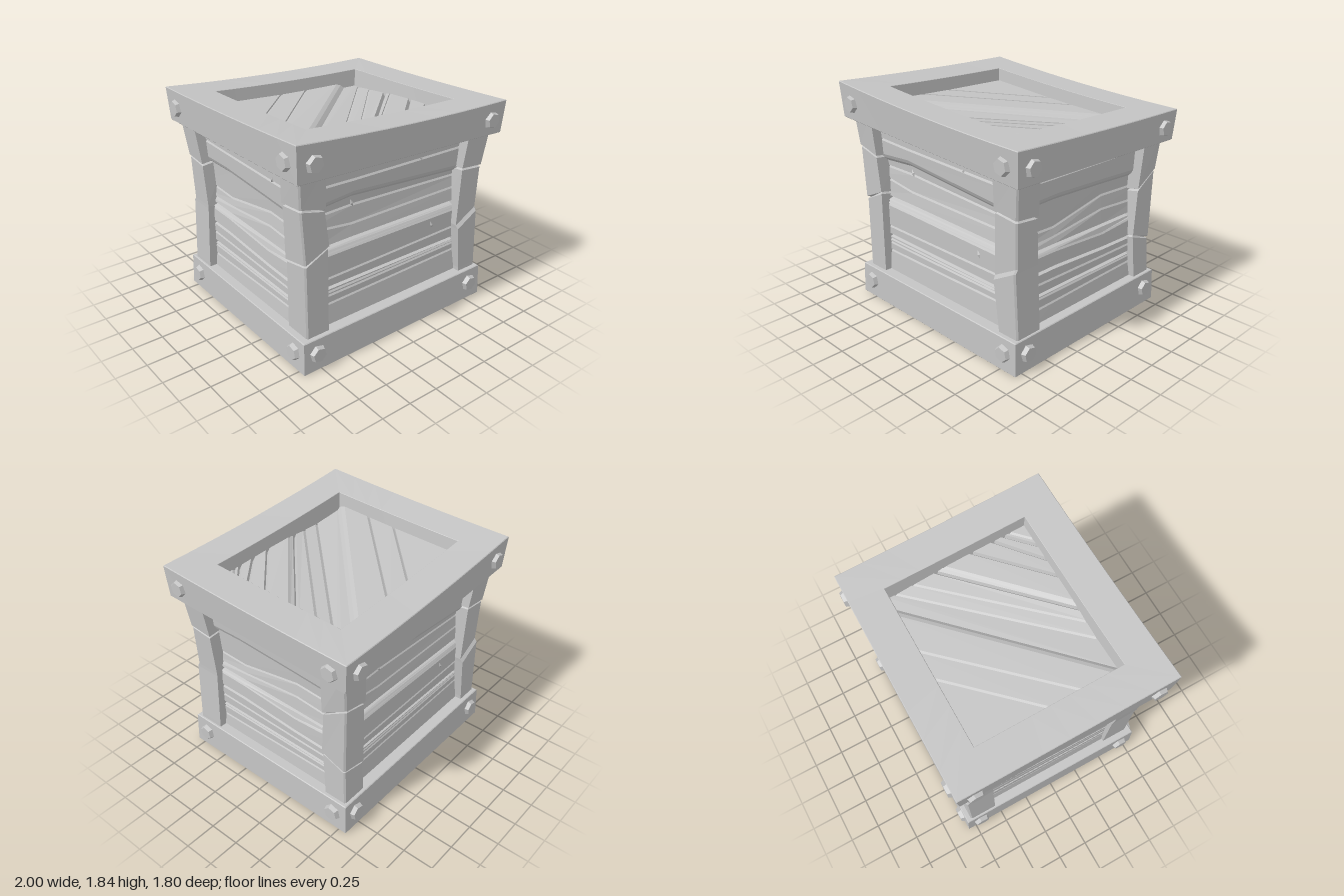
import * as THREE from 'three';

const grey = new THREE.MeshStandardMaterial({ color: 0xc4c4c4, flatShading: true, side: THREE.DoubleSide });
grey.name = 'grey';

function fromTriangles(list, name) {
  const g = new THREE.BufferGeometry();
  g.setAttribute('position', new THREE.Float32BufferAttribute(list.flat(), 3));
  g.computeVertexNormals();
  const m = new THREE.Mesh(g, grey);
  m.name = name;
  return m;
}

// Skin a list of point rows; closed joins the last column to the first
function loft(rows, closed, name) {
  const tris = [];
  const n = rows[0].length;
  for (let i = 0; i < rows.length - 1; i++) {
    for (let j = 0; j < (closed ? n : n - 1); j++) {
      const k = (j + 1) % n;
      const a = rows[i][j], b = rows[i][k], c = rows[i + 1][k], d = rows[i + 1][j];
      tris.push(a, b, c, a, c, d);
    }
  }
  return fromTriangles(tris, name);
}

// Warped upper and lower heights of the rim
const rimTop = (x, z) => {
  const u = x / 0.975, v = z / 0.875;
  return 1.748 - 0.057 * u + 0.035 * v + 0.022 * (u * u - 1) + 0.01 * (v * v - 1);
};
const rimBottom = (x, z) => 1.478 - 0.045 * x / 0.96 + 0.025 * z / 0.86;

// Point on one of four sides, t running along it
const onSide = (s, t, hx, hz) =>
  [[t * hx, hz], [hx, -t * hz], [-t * hx, -hz], [-hx, t * hz]][s];

// Mitred four-beam frame; section entries are [half x, half z, level 0..1]
function frame(name, section, low, high) {
  const g = new THREE.Group();
  g.name = name;
  for (let s = 0; s < 4; s++) {
    const rows = [];
    for (let i = 0; i <= 8; i++) {
      rows.push(section.map(([hx, hz, v]) => {
        const [x, z] = onSide(s, i / 4 - 1, hx, hz);
        return [x, THREE.MathUtils.lerp(low(x, z), high(x, z), v), z];
      }));
    }
    g.add(loft(rows, true, name + 'Beam'));
  }
  return g;
}

// Corner post; rows: [y, inner x, outer x, inner z, outer z, crack, slope x, slope z]
function post(sx, sz, specs) {
  const rows = [];
  const c = 0.012;
  const ring = ([y, xi, xo, zi, zo, , kx = 0, kz = 0], dy, inset) => {
    const X = xo - inset, Z = zo - inset, x0 = xi + inset, z0 = zi + inset;
    const loop = [[x0, Z, -1, 1], [X - c, Z, 1, 1], [X, Z - c, 1, 1], [X, z0, 1, -1], [x0, z0, -1, -1]]
      .map(([x, z, a, b]) => [sx * x, y + dy + a * kx + b * kz, sz * z]);
    rows.push(sx * sz < 0 ? loop.reverse() : loop);
  };
  for (const r of specs) {
    if (r[5]) {
      ring(r, -0.014, 0);
      ring(r, -0.003, 0.018);
      ring(r, 0.002, 0.018);
      ring(r, 0.008, -0.006);
    } else ring(r, 0, 0);
  }
  return loft(rows, true, 'cornerPost');
}

// Plank wall; lines are listed from the top: [kind, heights at each station]
const THIN = 0, GAP = 1, LEDGE = 2;
const cuts = {
  [THIN]: [[0, 0], [0.002, -0.013], [0.02, 0]],
  [GAP]: [[0, 0], [0.018, -0.03], [0.028, 0]],
  [LEDGE]: [[0, 0], [0.03, -0.014], [0.058, -0.042]],
};
function wall(stations, depth, lines) {
  let d = 0;
  const rows = [];
  const row = (ys, dy, dd) => rows.push(stations.map((x, i) =>
    [x, ys[i] - dy, depth + dd + 0.03 * Math.max(0, ys[i] - 1.1)]));
  row(stations.map(() => 1.56), 0, 0);
  for (const [kind, ...ys] of lines) {
    for (const [dy, dd] of cuts[kind]) row(ys, dy, d + dd);
    d = kind === LEDGE ? -0.042 : Math.min(0, d + 0.012);
  }
  row(stations.map(() => 0.2), 0, 0.02);
  return loft(rows.reverse(), false, 'plankWall');
}

const frontLines = [
  [THIN, 1.41, 1.395, 1.37], [LEDGE, 1.265, 1.295, 1.205], [THIN, 1.17, 1.175, 1.12],
  [THIN, 1.08, 1.03, 1.02], [GAP, 0.92, 0.92, 0.9], [THIN, 0.885, 0.882, 0.865],
  [THIN, 0.858, 0.855, 0.835], [THIN, 0.665, 0.668, 0.68], [GAP, 0.59, 0.588, 0.578],
  [THIN, 0.55, 0.55, 0.55], [THIN, 0.52, 0.52, 0.528], [THIN, 0.447, 0.452, 0.468],
];
const sideLines = [
  [THIN, 1.39, 1.38, 1.37, 1.365], [LEDGE, 1.24, 1.245, 1.215, 1.185],
  [THIN, 0.99, 0.975, 1.07, 1.045], [THIN, 0.89, 0.905, 0.96, 0.925],
  [GAP, 0.85, 0.845, 0.833, 0.825], [THIN, 0.815, 0.805, 0.765, 0.79],
  [GAP, 0.685, 0.68, 0.645, 0.63], [THIN, 0.595, 0.585, 0.57, 0.56],
  [GAP, 0.505, 0.503, 0.497, 0.492], [THIN, 0.472, 0.47, 0.465, 0.46],
  [THIN, 0.385, 0.39, 0.4, 0.405],
];

// Lid of diagonal planks: every strip is a rectangle clipped between two lines
function lid() {
  const lines = [
    [-0.69, 0, -0.09, -0.6, THIN], [-0.69, 0.26, 0.16, -0.6, THIN], [-0.69, 0.53, 0.5, -0.6, LEDGE],
    [-0.4, 0.58, 0.69, -0.55, THIN], [-0.25, 0.58, 0.69, -0.4, THIN], [-0.14, 0.58, 0.69, -0.21, GAP],
    [-0.07, 0.58, 0.69, -0.13, THIN], [0.17, 0.58, 0.69, 0.1, GAP], [0.33, 0.58, 0.69, 0.29, GAP],
    [0.47, 0.58, 0.69, 0.38, GAP], [0.54, 0.58, 0.69, 0.44, THIN],
  ];
  const edges = [];
  let h = 0;
  const edge = ([x1, z1, x2, z2], off, y) => {
    const l = Math.hypot(x2 - x1, z2 - z1), nx = (z1 - z2) / l, nz = (x2 - x1) / l;
    edges.push({ y, dist: ([x, z]) => (x - x1) * nx + (z - z1) * nz - off });
  };
  edge(lines[0], -1.5, 0);
  for (const line of lines) {
    for (const [off, dy] of cuts[line[4]]) edge(line, off, h + dy);
    h = line[4] === LEDGE ? -0.042 : Math.min(0, h + 0.012);
  }
  edge(lines[10], 1.5, h);
  const clip = (poly, f) => poly.flatMap((p, i) => {
    const q = poly[(i + 1) % poly.length], a = f(p), b = f(q), out = a >= 0 ? [p] : [];
    if (a * b < 0) out.push([p[0] + (q[0] - p[0]) * a / (a - b), p[1] + (q[1] - p[1]) * a / (a - b)]);
    return out;
  });
  const tris = [];
  for (let i = 0; i < edges.length - 1; i++) {
    const A = edges[i], B = edges[i + 1];
    let poly = [[-0.73, 0.63], [0.73, 0.63], [0.73, -0.63], [-0.73, -0.63]];
    poly = clip(clip(poly, A.dist), (p) => -B.dist(p));
    const pts = poly.map((p) => {
      const a = A.dist(p), t = a / (a - B.dist(p) || 1);
      return [p[0], rimTop(p[0], p[1]) - 0.105 + A.y + (B.y - A.y) * t, p[1]];
    });
    for (let k = 1; k < pts.length - 1; k++) tris.push(pts[0], pts[k], pts[k + 1]);
  }
  return fromTriangles(tris, 'plankLid');
}

// Tapered hexagonal bolt head facing outwards from side s
function bolt(s, x, y, z) {
  const head = new THREE.Mesh(new THREE.CylinderGeometry(0.058, 0.083, 0.066, 6), grey);
  head.rotation.set(Math.PI / 2, 0.25, 0);
  const g = new THREE.Group();
  g.name = 'bolt';
  g.add(head);
  g.rotation.y = s * Math.PI / 2;
  g.position.set(x, y, z);
  return g;
}

export function createModel() {
  const model = new THREE.Group();
  model.name = 'crate';

  model.add(frame('rim', [
    [0.97, 0.87, 1], [0.975, 0.875, 0.98], [0.96, 0.857, 0.02], [0.954, 0.85, 0],
    [0.67, 0.57, 0], [0.696, 0.594, 0.99], [0.699, 0.597, 1],
  ], rimBottom, rimTop));
  model.add(frame('base', [
    [0.894, 0.806, 1], [0.9, 0.812, 0.98], [0.908, 0.82, 0.02], [0.903, 0.815, 0],
    [0.64, 0.54, 0], [0.63, 0.53, 1],
  ], () => 0, () => 0.27));

  // Corner posts
  const cracked = (k) => [
    [0.2, 0.7, 0.885, 0.545, 0.775], [0.3, 0.695, 0.882, 0.545, 0.775],
    [0.73 * k, 0.65, 0.858, 0.545, 0.78, 0, 0.055], [0.76 * k, 0.645, 0.858, 0.545, 0.76, 0, 0.055],
    [1.18 * k, 0.66, 0.868, 0.57, 0.77, 1, -0.01, 0.01], [1.53 * k, 0.675, 0.915, 0.59, 0.81],
  ];
  model.add(post(1, 1, cracked(1)), post(-1, -1, cracked(1.02)));
  model.add(post(-1, 1, [
    [0.2, 0.65, 0.845, 0.545, 0.775], [0.9, 0.65, 0.85, 0.55, 0.77, 1, -0.045, 0.02],
    [1.28, 0.68, 0.885, 0.57, 0.775, 1, 0.025, 0.01], [1.6, 0.69, 0.915, 0.59, 0.805],
  ]));
  model.add(post(1, -1, [
    [0.2, 0.66, 0.875, 0.6, 0.79], [0.59, 0.655, 0.86, 0.565, 0.768, 1, 0.02, -0.035],
    [1.08, 0.67, 0.87, 0.58, 0.785, 1, 0.02, 0.06], [1.5, 0.685, 0.91, 0.585, 0.81],
  ]));

  // Plank walls with small splinters, opposite walls turned half round
  for (let s = 0; s < 4; s++) {
    const side = new THREE.Group();
    side.name = ['frontWall', 'rightWall', 'backWall', 'leftWall'][s];
    const odd = s % 2 === 1;
    side.add(odd ? wall([-0.7, -0.3, 0.24, 0.7], 0.81, sideLines) : wall([-0.76, -0.37, 0.76], 0.705, frontLines));
    for (const [x, y] of odd ? [[0.35, 1.375]] : [[0.27, 1.375], [-0.36, 1.18], [0.42, 0.765]]) {
      const chip = new THREE.Mesh(new THREE.OctahedronGeometry(0.035), grey);
      chip.name = 'splinter';
      chip.scale.set(0.4, 1, 0.4);
      chip.rotation.z = odd ? -0.5 : 0.4;
      chip.position.set(x, y, odd ? 0.815 : y > 1.1 && y < 1.2 ? 0.667 : 0.705);
      side.add(chip);
    }
    side.rotation.y = s * Math.PI / 2;
    model.add(side);
  }
  model.add(lid());

  // Two bolts at each end of every beam, above and below
  for (let s = 0; s < 4; s++) {
    for (const t of [-1, 1]) {
      const [x, z] = s % 2 ? [Math.sign(2 - s) * 0.965, t * 0.73] : [t * 0.832, (1 - s) * 0.865];
      model.add(bolt(s, x, (rimTop(x, z) + rimBottom(x, z)) / 2 - 0.005, z));
      const [u, w] = s % 2 ? [Math.sign(2 - s) * 0.903, t * 0.69] : [t * 0.783, (1 - s) * 0.815];
      model.add(bolt(s, u, 0.147, w));
    }
  }
  return model;
}
